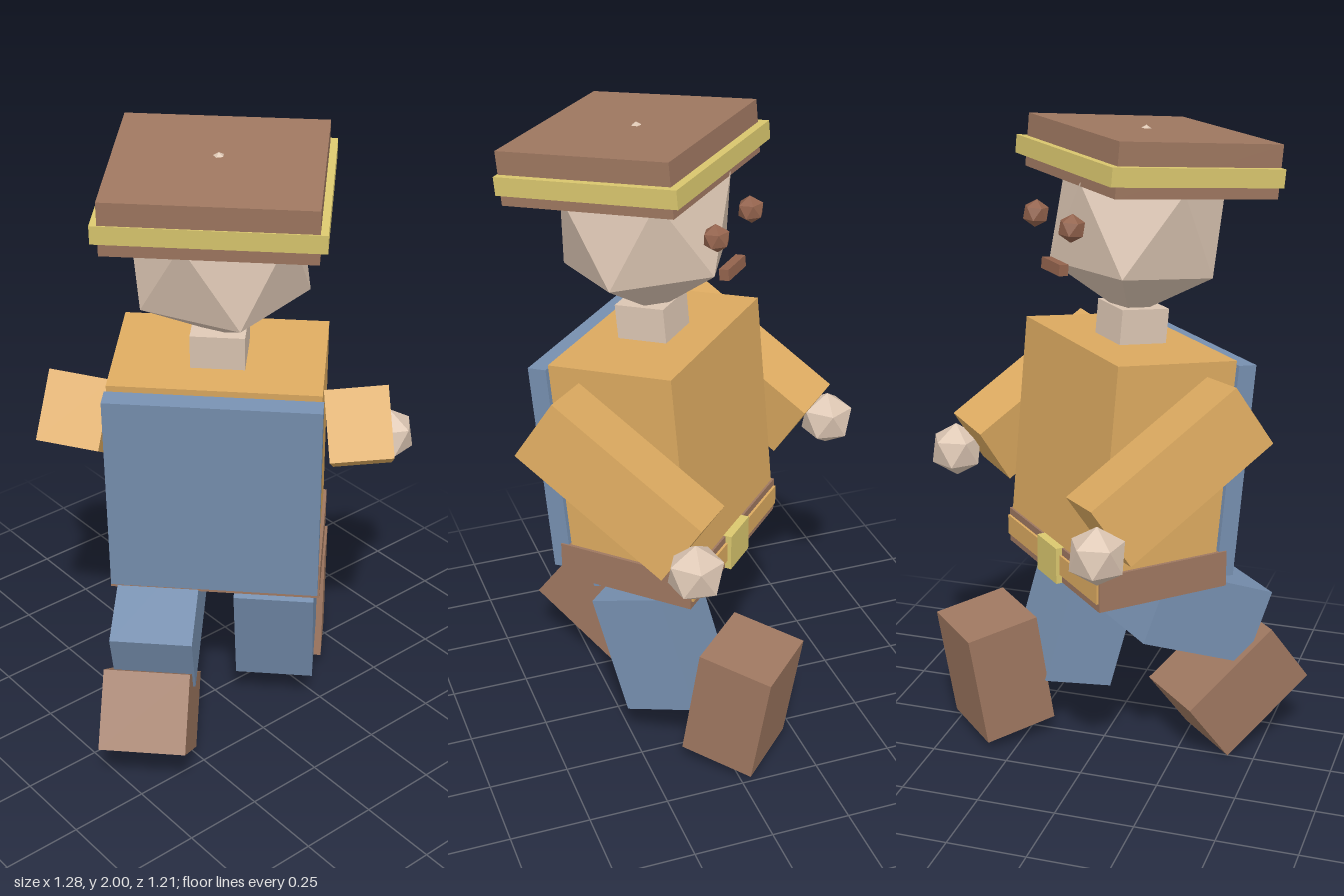
import * as THREE from 'three';

const mat = (name, color) => {
  const m = new THREE.MeshStandardMaterial({ color });
  m.name = name;
  return m;
};
const deg = THREE.MathUtils.degToRad;

export function createModel() {
  const tan = mat('tan cloth', 0xdcaa60);
  const brown = mat('brown leather', 0x9e7760);
  const blue = mat('blue cloth', 0x7790b0);
  const skin = mat('pale skin', 0xdcc6b3);
  const yellow = mat('yellow trim', 0xdac76e);
  const dark = mat('dark reddish brown', 0x93634d);

  const model = new THREE.Group();
  model.name = 'walkingFigure';
  // The body is laid out facing local +z, then turned on the spot
  const body = new THREE.Group();
  body.name = 'body';
  body.rotation.y = deg(135);
  model.add(body);
  const CX = -0.026; // sideways centre of the body
  const LEAN = -5.3; // backward lean of the upper body

  const add = (name, geometry, material, pos, pitch = 0, roll = 0) => {
    const mesh = new THREE.Mesh(geometry, material);
    mesh.name = name;
    mesh.position.set(CX + pos[0], pos[1], pos[2]);
    mesh.rotation.set(deg(pitch), 0, deg(roll));
    body.add(mesh);
    return mesh;
  };
  const box = (name, material, size, pos, pitch, roll) =>
    add(name, new THREE.BoxGeometry(...size), material, pos, pitch, roll);
  // Twenty-sided ball standing on one of its corners
  const ball = (name, material, radius, pos, pitch) => {
    const g = new THREE.IcosahedronGeometry(radius, 0);
    g.rotateX(-Math.atan((1 + Math.sqrt(5)) / 2));
    g.rotateY(Math.PI / 2);
    return add(name, g, material, pos, pitch);
  };

  // Torso, cape and neck
  box('torso', tan, [0.62, 0.70, 0.40], [0, 0.993, -0.063], LEAN);
  box('cape', blue, [0.63, 0.673, 0.06], [0, 0.97, -0.299], LEAN);
  box('neck', skin, [0.16, 0.13, 0.16], [0, 1.383, -0.106], LEAN);

  // Belt with front strip and buckle
  box('belt', brown, [0.64, 0.115, 0.44], [0, 0.662, -0.05]);
  box('beltStrip', tan, [0.632, 0.065, 0.008], [0, 0.664, 0.174]);
  box('buckle', yellow, [0.135, 0.118, 0.04], [0, 0.662, 0.17]);

  // Head and face
  ball('head', skin, 0.29, [0, 1.698, -0.125], LEAN);
  box('mouth', dark, [0.12, 0.034, 0.03], [0, 1.593, 0.153], LEAN);

  // Hat, with a band that stands out at the front and sides
  box('hat', brown, [0.588, 0.16, 0.54], [0, 1.895, -0.168], LEAN);
  box('hatBand', yellow, [0.63, 0.055, 0.57], [0, 1.88, -0.155], LEAN);

  // Mirrored arms, hands and eyes
  for (const [side, k] of [['left', 1], ['right', -1]]) {
    box(side + 'Arm', tan, [0.187, 0.213, 0.553], [k * 0.416, 1.06, -0.01], 32.5, k * 7.5);
    ball(side + 'Hand', skin, 0.09, [k * 0.507, 0.88, 0.274]);
    ball(side + 'Eye', dark, 0.042, [k * 0.12, 1.73, 0.156], LEAN);
  }

  // Right leg steps forward, left leg swings back
  box('rightThigh', blue, [0.25, 0.40, 0.245], [-0.175, 0.365, -0.003], -17.1);
  box('rightBoot', brown, [0.262, 0.374, 0.24], [-0.19, 0.235, 0.289], 9.2);
  box('leftThigh', blue, [0.25, 0.245, 0.40], [0.175, 0.496, -0.224], -22);
  box('leftBoot', brown, [0.265, 0.242, 0.368], [0.19, 0.21, -0.368], 36.5);

  return model;
}
